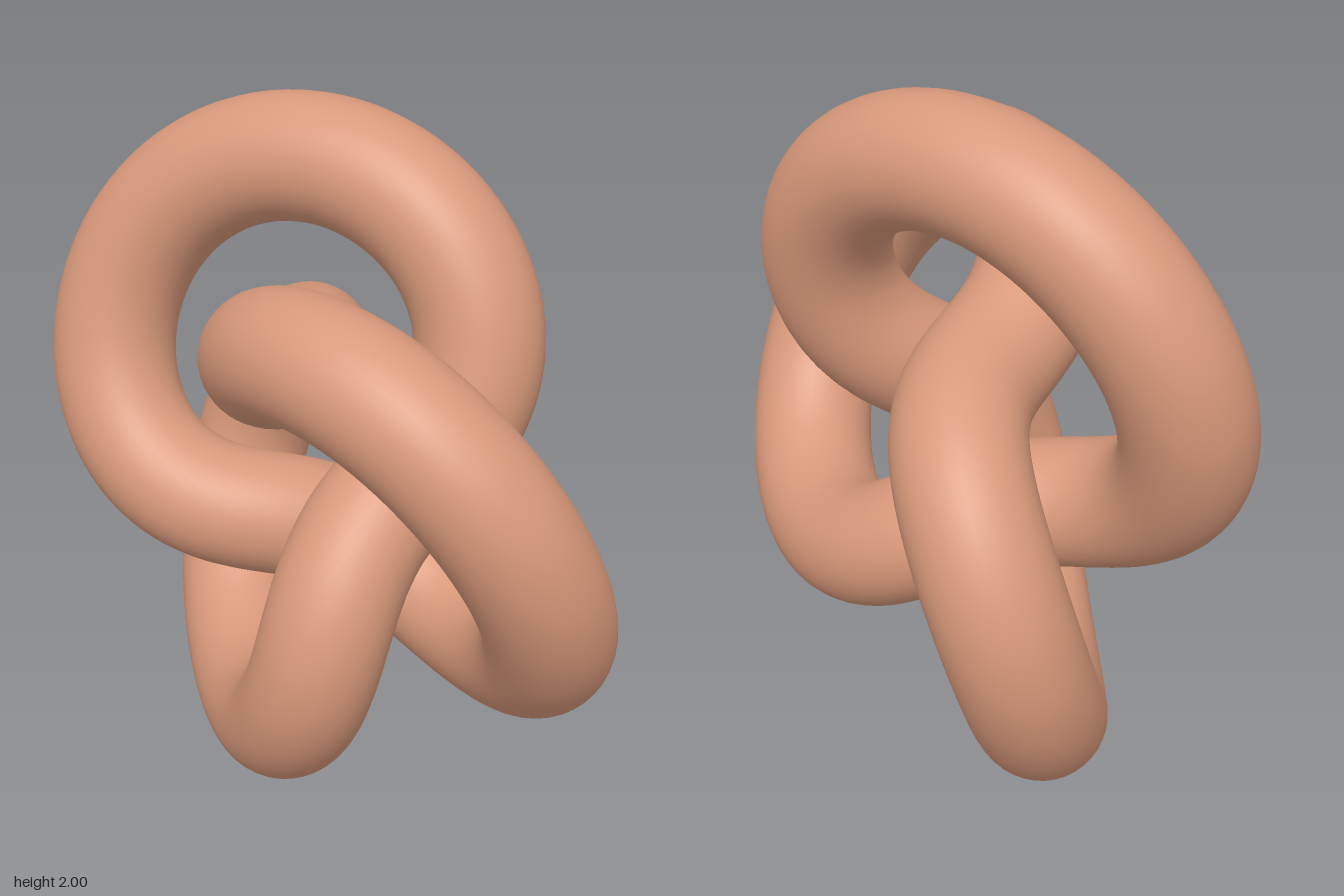
import * as THREE from 'three';

export function createModel() {
  const group = new THREE.Group();
  group.name = 'trefoilKnot';

  const terracotta = new THREE.MeshStandardMaterial({ color: 0xd9997b });
  terracotta.name = 'terracotta';

  // One closed round tube, winding twice around the axis with three lobes
  const knot = new THREE.Mesh(new THREE.TorusKnotGeometry(0.58, 0.18, 300, 40, 2, 3), terracotta);
  knot.name = 'knotTube';
  // The lobes reach further to +x than to -x, so shift to centre the extents
  knot.position.set(-0.092, 1, 0);
  group.add(knot);

  return group;
}
